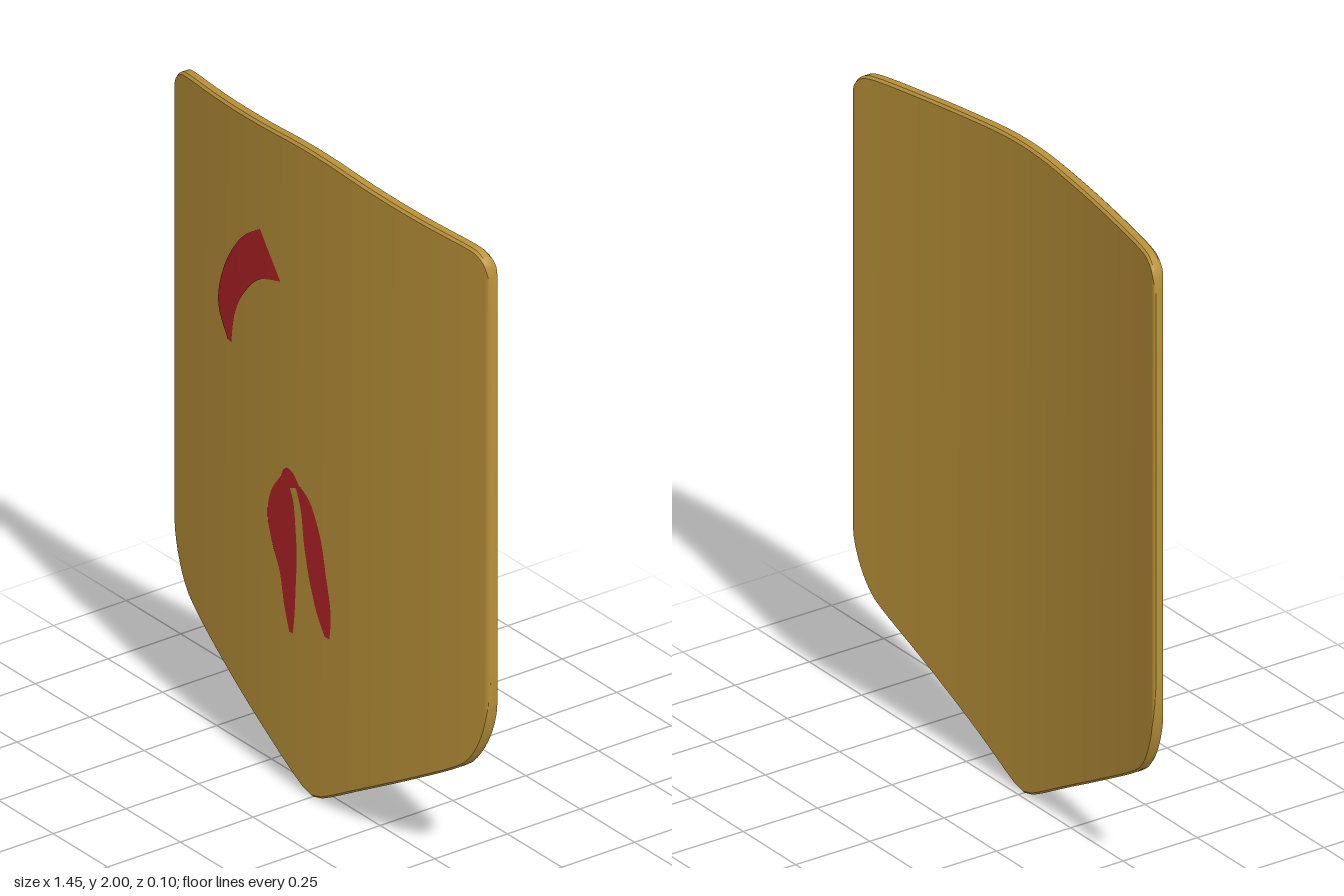
import * as THREE from 'three';
import { toCreasedNormals } from 'three/addons/utils/BufferGeometryUtils.js';

const HALF = 0.725, THICK = 0.036, BEVEL = 0.007;
const frontZ = (x) => 0.05 - 0.068 * (x / HALF) ** 2; // bowed front surface

const spline = (pts, n) =>
  new THREE.SplineCurve(pts.map((p) => new THREE.Vector2(...p))).getPoints(n);

// Height of an outline curve at a given distance from the centre line
function heightAt(curve, x) {
  const i = curve.findIndex((p) => p.x >= x);
  if (i < 0) return curve[curve.length - 1].y;
  if (i === 0) return curve[0].y;
  const a = curve[i - 1], b = curve[i];
  return a.y + (b.y - a.y) * (x - a.x) / (b.x - a.x);
}

function build(positions, index) {
  const g = new THREE.BufferGeometry();
  g.setAttribute('position', new THREE.Float32BufferAttribute(positions, 3));
  g.setIndex(index);
  return g;
}

// Bowed board: upright bevelled cross-sections swept from side to side
function boardGeometry() {
  const top = spline([[0, 2], [0.1, 1.997], [0.25, 1.985], [0.45, 1.97], [0.64, 1.957],
    [0.69, 1.942], [0.716, 1.91], [HALF, 1.85]], 200);
  const bottom = spline([[0, 0.003], [0.03, 0.009], [0.08, 0.033], [0.2, 0.1], [0.4, 0.21], [0.6, 0.325],
    [0.66, 0.38], [0.7, 0.46], [0.72, 0.55], [HALF, 0.65]], 200);
  const N = 28, pos = [], idx = [];
  for (let j = -N; j <= N; j++) {
    const x = HALF * Math.sin((j / N) * Math.PI / 2);
    const yt = heightAt(top, Math.abs(x)), yb = heightAt(bottom, Math.abs(x));
    const inset = Math.max(0, BEVEL - (HALF - Math.abs(x)));
    const f = frontZ(x) - inset, k = frontZ(x) - THICK + inset;
    const b = BEVEL, c = BEVEL - inset;
    const section = [
      [yb + b, f], [yt - b, f], [yt, f - c], [yt, k + c],
      [yt - b, k], [yb + b, k], [yb, k + c], [yb, f - c],
    ];
    for (const [y, z] of section) pos.push(x, y, z);
  }
  const S = 8, last = 2 * N * S;
  for (let j = 0; j < 2 * N; j++) {
    for (let k = 0; k < S; k++) {
      const a = j * S + k, d = j * S + (k + 1) % S;
      idx.push(a, a + S, d + S, a, d + S, d);
    }
  }
  // side caps
  for (let k = 1; k < S - 1; k++) {
    idx.push(0, k, k + 1, last, last + k + 1, last + k);
  }
  return toCreasedNormals(build(pos, idx), 0.6);
}

// Painted patch between two edge curves, laid just above the front surface
function patchGeometry(left, right) {
  const n = 24, L = spline(left, n), R = spline(right, n), pos = [], idx = [], W = 3;
  for (let i = 0; i <= n; i++) {
    for (let k = 0; k < W; k++) {
      const p = L[i].clone().lerp(R[i], k / (W - 1));
      pos.push(p.x, p.y, frontZ(p.x) + 0.002);
      if (i < n && k < W - 1) {
        const a = i * W + k;
        idx.push(a, a + W, a + W + 1, a, a + W + 1, a + 1);
      }
    }
  }
  const g = build(pos, idx);
  g.computeVertexNormals();
  return g;
}

export function createModel() {
  const gold = new THREE.MeshStandardMaterial({ color: 0xb89038 });
  gold.name = 'gold';
  const red = new THREE.MeshStandardMaterial({ color: 0xb02226 });
  red.name = 'red';

  const model = new THREE.Group();
  model.name = 'shield';
  const add = (name, geometry, material) => {
    const mesh = new THREE.Mesh(geometry, material);
    mesh.name = name;
    model.add(mesh);
  };

  add('board', boardGeometry(), gold);

  // curved horn mark
  add('hornMark', patchGeometry(
    [[-0.243, 1.66], [-0.33, 1.6], [-0.41, 1.5], [-0.455, 1.395], [-0.457, 1.32], [-0.41, 1.247]],
    [[-0.143, 1.54], [-0.25, 1.5], [-0.33, 1.42], [-0.37, 1.35], [-0.385, 1.29], [-0.39, 1.245]]), red);

  // pair of hanging leaf marks joined by a small bud
  add('leafMarkRight', patchGeometry(
    [[-0.14, 0.94], [-0.19, 0.87], [-0.205, 0.79], [-0.18, 0.71], [-0.145, 0.64], [-0.125, 0.55], [-0.1, 0.475]],
    [[-0.1, 0.925], [-0.08, 0.88], [-0.07, 0.8], [-0.065, 0.72], [-0.07, 0.62], [-0.075, 0.54], [-0.083, 0.475]]), red);
  add('leafMarkLeft', patchGeometry(
    [[-0.07, 0.935], [-0.045, 0.87], [-0.03, 0.77], [-0.005, 0.67], [0.03, 0.58], [0.065, 0.525]],
    [[-0.05, 0.945], [0, 0.91], [0.045, 0.82], [0.068, 0.72], [0.09, 0.61], [0.085, 0.527]]), red);
  add('budMark', patchGeometry(
    [[-0.145, 0.925], [-0.125, 0.915], [-0.1, 0.92], [-0.08, 0.928], [-0.055, 0.935]],
    [[-0.14, 0.94], [-0.128, 0.965], [-0.107, 0.978], [-0.08, 0.97], [-0.055, 0.945]]), red);

  return model;
}
